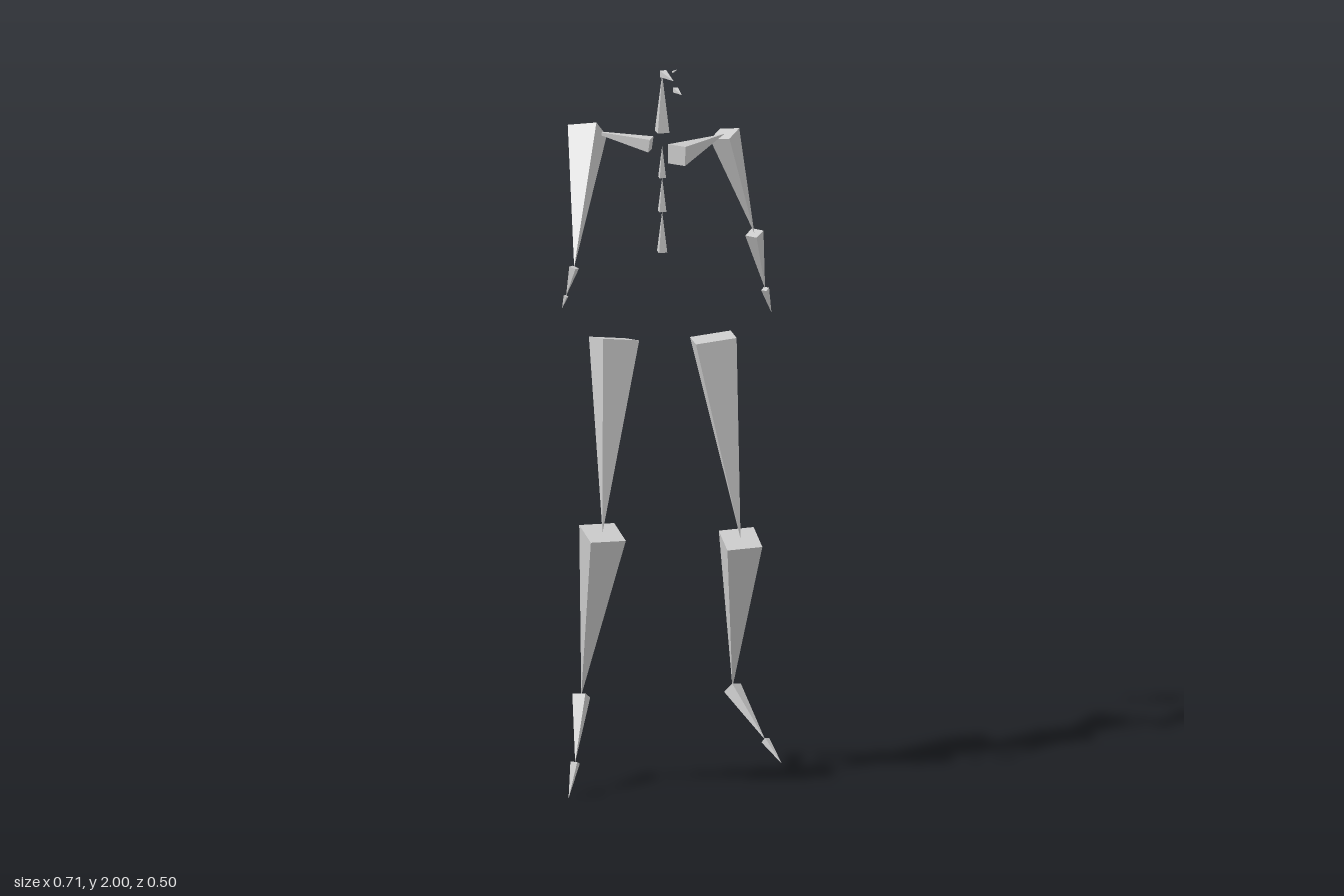
import * as THREE from 'three';

const boneGrey = new THREE.MeshStandardMaterial({ color: 0xcccccc });
boneGrey.name = 'boneGrey';

// Square-based pyramid from start to end; side is the direction of one base edge
function bone(name, start, end, side, width) {
  const a = new THREE.Vector3(...start);
  const axis = new THREE.Vector3(...end).sub(a);
  const length = axis.length();
  axis.normalize();
  const w = width ?? length * 0.2;
  const u = new THREE.Vector3(...side);
  u.addScaledVector(axis, -u.dot(axis)).normalize();
  const v = new THREE.Vector3().crossVectors(u, axis);

  const cone = new THREE.ConeGeometry(w / Math.SQRT2, length, 4)
    .rotateY(Math.PI / 4)
    .translate(0, length / 2, 0);
  const geometry = cone.toNonIndexed();
  geometry.computeVertexNormals();
  geometry.applyMatrix4(new THREE.Matrix4().makeBasis(u, axis, v).setPosition(a));
  const mesh = new THREE.Mesh(geometry, boneGrey);
  mesh.name = name;
  return mesh;
}

// Chain of bones through joints; each part is [name, edge direction, width]
function chain(name, joints, parts) {
  const group = new THREE.Group();
  group.name = name;
  parts.forEach(([part, side, width], i) => group.add(bone(part, joints[i], joints[i + 1], side, width)));
  return group;
}

export function createModel() {
  const model = new THREE.Group();
  model.name = 'poseSkeleton';
  const X = [1, 0, 0], Y = [0, 1, 0];

  // Legs: hip, knee, ankle, ball, toe tip
  model.add(chain('rightLeg',
    [[-0.163, 1.24, 0.043], [-0.226, 0.733, 0.161], [-0.256, 0.247, 0.05], [-0.298, 0.09, 0.145], [-0.325, 0, 0.178]],
    [['rightThigh', [0.99, 0, -0.12]], ['rightShin', [1, 0, -0.07]],
      ['rightFoot', [0.8, 0.12, 0.55]], ['rightToe', [0.8, 0.12, 0.55]]]));
  model.add(chain('leftLeg',
    [[0.113, 1.222, 0.043], [0.172, 0.671, 0.107], [0.188, 0.21, -0.04], [0.246, 0.095, 0.088], [0.275, 0.045, 0.153]],
    [['leftThigh', [0.99, 0, 0.11]], ['leftShin', X],
      ['leftFoot', [0.8, -0.21, -0.55]], ['leftToe', [0.8, -0.21, -0.55]]]));

  // Arms: collar, shoulder, elbow, wrist, fingertip
  model.add(chain('rightArm',
    [[-0.066, 1.783, 0.063], [-0.219, 1.808, -0.028], [-0.323, 1.505, 0.23], [-0.344, 1.425, 0.224], [-0.354, 1.39, 0.22]],
    [['rightCollarbone', Y], ['rightUpperArm', [0.83, 0.17, 0.53]],
      ['rightForearm', [0.7, 0, 0.7], 0.02], ['rightHand', [0.7, 0, 0.7], 0.01]]));
  model.add(chain('leftArm',
    [[0.018, 1.733, 0.016], [0.202, 1.724, -0.176], [0.289, 1.434, -0.193], [0.33, 1.262, -0.235], [0.353, 1.188, -0.255]],
    [['leftCollarbone', Y], ['leftUpperArm', [0.66, 0.24, -0.75]],
      ['leftForearm', [0.68, 0, 0.73]], ['leftHand', [0.68, 0, 0.73]]]));

  // Spine, neck and small head bones
  const cx = -0.029, cz = 0.042;
  model.add(chain('spine',
    [[cx, 1.473, cz], [cx, 1.587, cz], [cx, 1.682, cz], [cx, 1.77, cz]],
    [['lowerSpine', X], ['middleSpine', X], ['upperSpine', X]]));
  model.add(bone('neck', [cx, 1.81, cz], [cx, 1.972, cz], X));
  model.add(bone('headBone', [-0.026, 1.972, 0.04], [-0.02, 1.976, 0.13], X));
  model.add(bone('jawBone', [cx, 1.968, 0.184], [cx, 1.972, 0.25], X));
  model.add(bone('browBone', [-0.01, 1.988, 0.083], [-0.002, 2, 0.103], X));
  return model;
}
